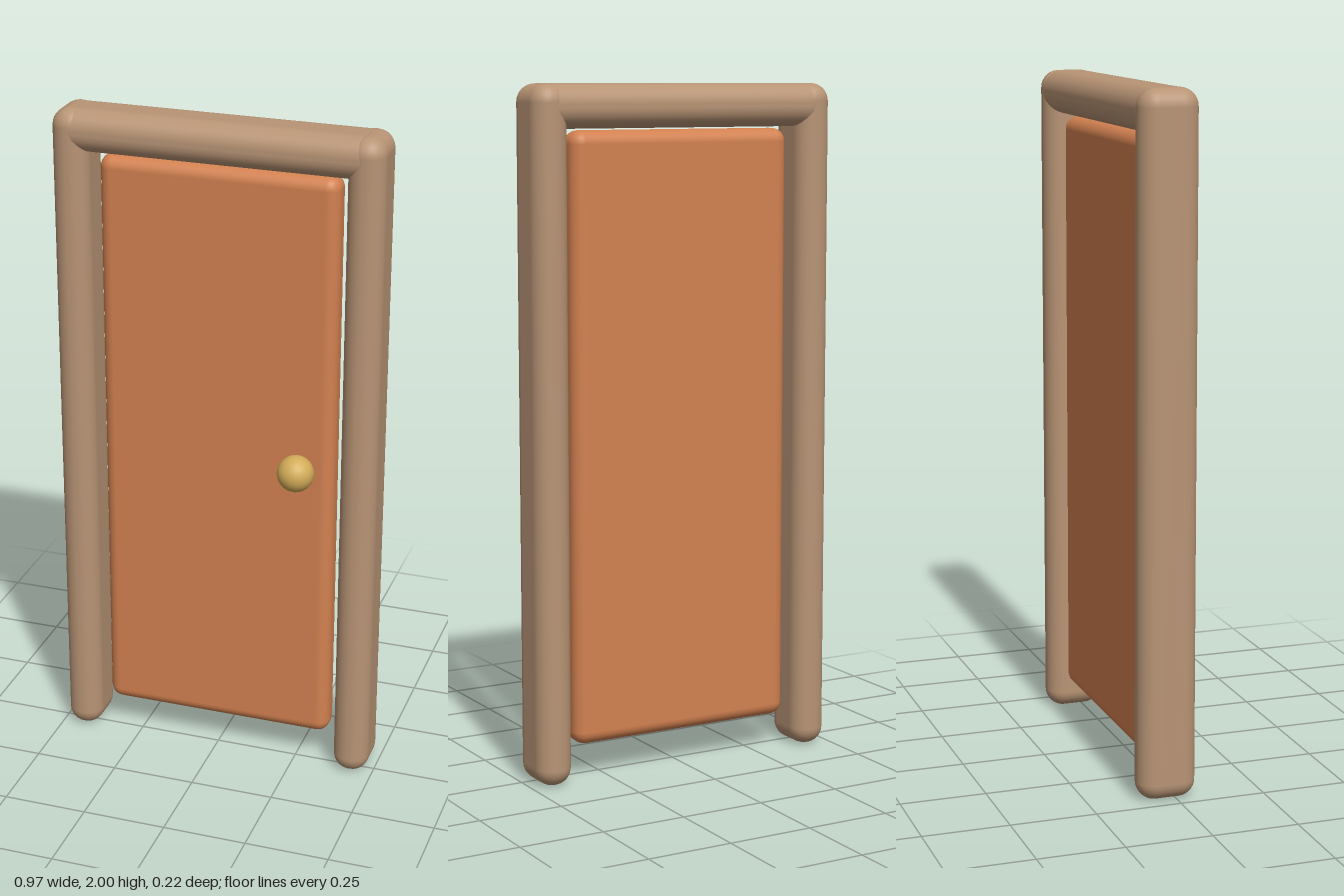
import * as THREE from 'three';
import { RoundedBoxGeometry } from 'three/addons/geometries/RoundedBoxGeometry.js';

const FRAME_Z = -0.025; // middle of the frame depth
const FRAME_DEPTH = 0.172;

export function createModel() {
  const model = new THREE.Group();
  model.name = 'door';

  const frameMat = new THREE.MeshStandardMaterial({ color: 0xb89475 });
  const panelMat = new THREE.MeshStandardMaterial({ color: 0xd28150 });
  const knobMat = new THREE.MeshStandardMaterial({ color: 0xd2ac58 });

  const add = (name, geometry, material, x, y, z) => {
    const mesh = new THREE.Mesh(geometry, material);
    mesh.name = name;
    mesh.position.set(x, y, z);
    model.add(mesh);
  };

  // Upright posts, fully rounded across their width
  for (const [name, side] of [['leftPost', 1], ['rightPost', -1]]) {
    add(name, new RoundedBoxGeometry(0.108, 1.995, FRAME_DEPTH, 4, 0.052),
      frameMat, side * 0.431, 1.0025, FRAME_Z);
  }

  // Header beam, its ends buried in the posts
  add('header', new RoundedBoxGeometry(0.94, 0.125, FRAME_DEPTH, 4, 0.058),
    frameMat, 0, 1.9375, FRAME_Z);

  // Door panel, hanging clear of the posts and the ground
  add('panel', new RoundedBoxGeometry(0.706, 1.765, 0.094, 4, 0.038),
    panelMat, 0, 0.9875, FRAME_Z);

  // Round knob on the front
  add('knob', new THREE.SphereGeometry(0.054, 24, 16), knobMat, 0.253, 0.99, 0.057);

  return model;
}
